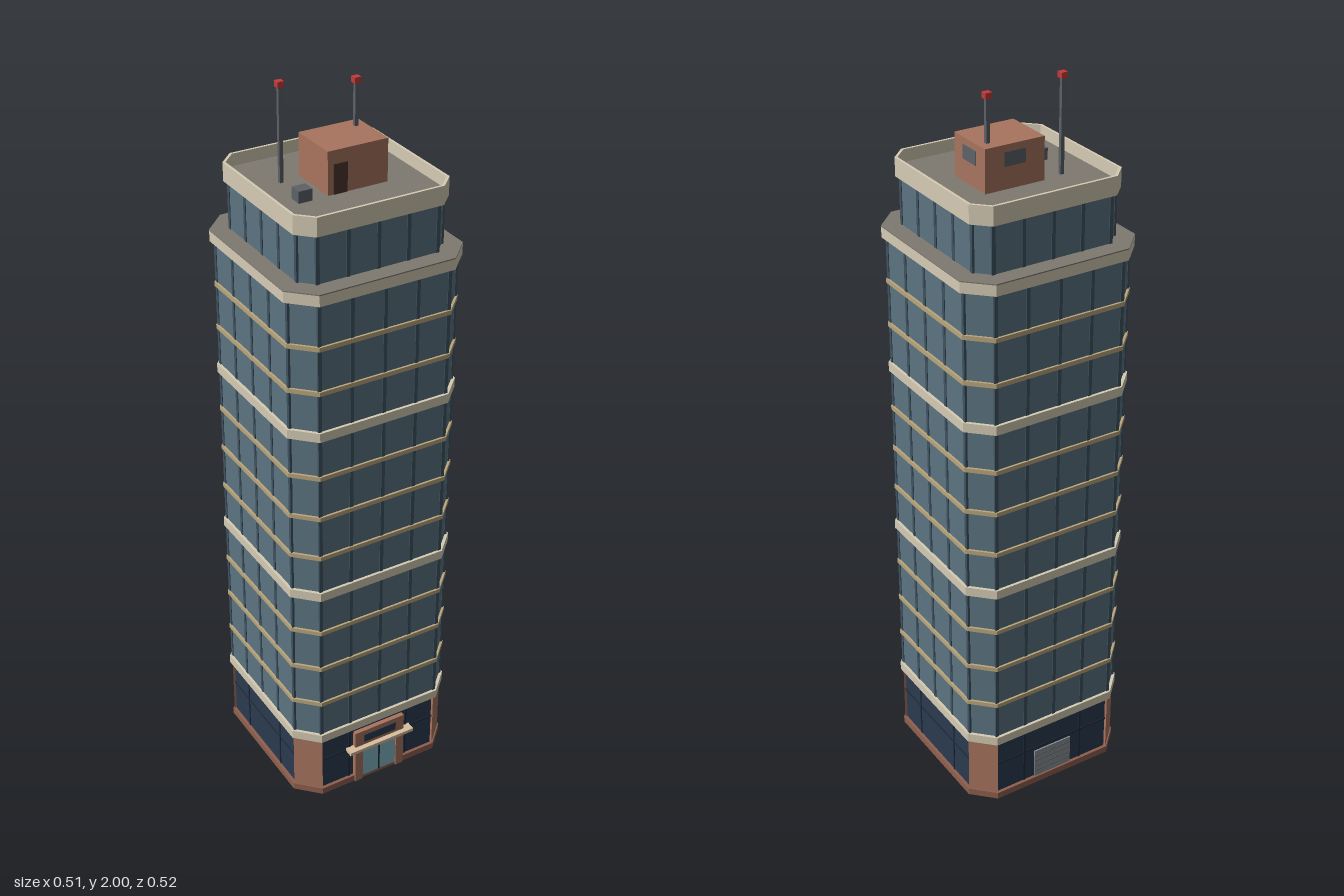
import * as THREE from 'three';

const mat = (color) => new THREE.MeshStandardMaterial({ color, flatShading: true });
const M = {
  glass: mat(0x5d7482), mullion: mat(0x3f5261), cream: mat(0xd6ccb4), band: mat(0xb9a67c),
  roof: mat(0x7f7a70), brick: mat(0xa9745f), plinth: mat(0x8f5f4e), navy: mat(0x2b3a50),
  frame: mat(0x1f2a3a), door: mat(0x83b6c6), canopy: mat(0xd9bfa0), metal: mat(0x8d9499),
  pole: mat(0x5c6166), dark: mat(0x4a342b), red: mat(0xc23a3a), unit: mat(0x5d6268),
};

// Square outline with cut corners: half width h, cut c
function octagon(h, c, Type = THREE.Shape) {
  const k = h - c;
  return new Type([[k, -h], [h, -k], [h, k], [k, h], [-k, h], [-h, k], [-h, -k], [-k, -h]]
    .map(([x, y]) => new THREE.Vector2(x, y)));
}

export function createModel() {
  const model = new THREE.Group();
  model.name = 'officeTower';
  const tower = new THREE.Group();
  tower.name = 'tower';
  tower.position.z = -0.006;
  model.add(tower);

  // Octagonal storey from y0 to y1, hollow when inner is given
  function slab(name, material, h, c, y0, y1, inner) {
    const shape = octagon(h, c);
    if (inner) shape.holes.push(octagon(inner, c - (h - inner) * 0.586, THREE.Path));
    const g = new THREE.ExtrudeGeometry(shape, { depth: y1 - y0, bevelEnabled: false });
    g.rotateX(-Math.PI / 2);
    const m = new THREE.Mesh(g, material);
    m.name = name;
    m.position.y = y0;
    tower.add(m);
  }
  // Box given by its limits
  function box(name, material, x0, x1, y0, y1, z0, z1, parent = model) {
    const m = new THREE.Mesh(new THREE.BoxGeometry(x1 - x0, y1 - y0, z1 - z0), material);
    m.name = name;
    m.position.set((x0 + x1) / 2, (y0 + y1) / 2, (z0 + z1) / 2);
    parent.add(m);
    return m;
  }
  // Repeat vertical strips on all four sides
  function strips(name, material, xs, w, h, y0, y1) {
    for (let i = 0; i < 4; i++) {
      const side = new THREE.Group();
      side.name = name + 'Side';
      side.rotation.y = i * Math.PI / 2;
      for (const x of xs) box(name, material, x - w / 2, x + w / 2, y0, y1, h - 0.004, h + 0.002, side);
      tower.add(side);
    }
  }

  // Ground floor
  slab('plinth', M.plinth, 0.245, 0.06, 0, 0.02);
  slab('lobbyGlass', M.navy, 0.236, 0.056, 0.02, 0.2);
  strips('lobbyMullion', M.frame, [-0.093, 0.093], 0.005, 0.236, 0.02, 0.2);
  slab('lobbyTransom', M.frame, 0.238, 0.056, 0.118, 0.123);
  // Corner piers: a wedge following each cut corner
  for (let i = 0; i < 4; i++) {
    const pier = new THREE.Shape([[0.183, 0.15], [0.183, 0.242], [0.242, 0.183], [0.15, 0.183]]
      .map(([x, y]) => new THREE.Vector2(x, y)).reverse());
    const g = new THREE.ExtrudeGeometry(pier, { depth: 0.18, bevelEnabled: false });
    g.rotateX(-Math.PI / 2);
    const m = new THREE.Mesh(g, M.brick);
    m.name = 'cornerPier';
    m.position.y = 0.02;
    m.rotation.y = i * Math.PI / 2;
    tower.add(m);
  }

  // Main shaft with floor bands, every fourth one thick
  slab('mainShaft', M.glass, 0.24, 0.056, 0.2, 1.57);
  strips('mainMullion', M.mullion, [-0.184, -0.093, 0, 0.093, 0.184], 0.01, 0.24, 0.2, 1.57);
  for (let i = 0; i < 11; i++) {
    const y = 0.21 + i * 0.1235;
    if (i % 4 === 0) slab('thickBand', M.cream, 0.248, 0.06, y - 0.013, y + 0.013);
    else slab('floorBand', M.band, 0.246, 0.059, y - 0.006, y + 0.006);
  }
  slab('cornice', M.cream, 0.253, 0.063, 1.565, 1.594);
  slab('terrace', M.roof, 0.253, 0.063, 1.594, 1.597);

  // Set-back top storey, roof and parapet
  slab('topStorey', M.glass, 0.205, 0.037, 1.597, 1.73);
  strips('topMullion', M.mullion, [-0.168, -0.084, 0, 0.084, 0.168], 0.01, 0.205, 1.597, 1.73);
  slab('parapet', M.cream, 0.216, 0.041, 1.725, 1.775, 0.209);
  slab('roofDeck', M.roof, 0.212, 0.039, 1.726, 1.742);

  // Front entrance
  box('portalHeader', M.brick, -0.08, 0.08, 0.106, 0.18, 0.2, 0.243);
  for (const s of [-1, 1]) {
    box('portalJamb', M.brick, s * 0.0675 - 0.0125, s * 0.0675 + 0.0125, 0, 0.106, 0.2, 0.243);
    box('entranceDoor', M.door, s * 0.028 - 0.0265, s * 0.028 + 0.0265, 0.01, 0.106, 0.2, 0.24);
  }
  box('doorDivider', M.frame, -0.0025, 0.0025, 0.01, 0.106, 0.2, 0.241);
  box('transomWindow', M.navy, -0.052, 0.052, 0.14, 0.165, 0.23, 0.245);
  box('canopy', M.canopy, -0.104, 0.104, 0.119, 0.129, 0.22, 0.257);

  // Rear service shutter
  box('serviceShutter', M.metal, -0.06, 0.06, 0.02, 0.11, -0.246, -0.23);
  for (let i = 1; i < 5; i++) {
    box('shutterSlat', M.unit, -0.06, 0.06, 0.02 + i * 0.018, 0.022 + i * 0.018, -0.247, -0.23);
  }

  // Rooftop plant room with door and vents
  box('plantRoom', M.brick, -0.057, 0.111, 1.74, 1.855, -0.083, 0.057);
  box('plantRoomDoor', M.dark, -0.041, -0.003, 1.742, 1.82, 0.05, 0.059);
  box('sideVent', M.unit, 0.1, 0.112, 1.8, 1.837, -0.042, 0.018);
  box('rearVent', M.unit, -0.003, 0.057, 1.8, 1.837, -0.084, -0.07);
  box('roofUnit', M.unit, -0.139, -0.101, 1.74, 1.773, 0.026, 0.061);

  // Antennas with warning lights
  for (const [x, z, y0, y1] of [[-0.115, -0.07, 1.74, 2], [0.084, -0.049, 1.85, 1.98]]) {
    box('antennaPole', M.pole, x - 0.005, x + 0.005, y0, y1 - 0.012, z - 0.005, z + 0.005);
    box('antennaLight', M.red, x - 0.009, x + 0.009, y1 - 0.015, y1, z - 0.009, z + 0.009);
  }
  return model;
}
